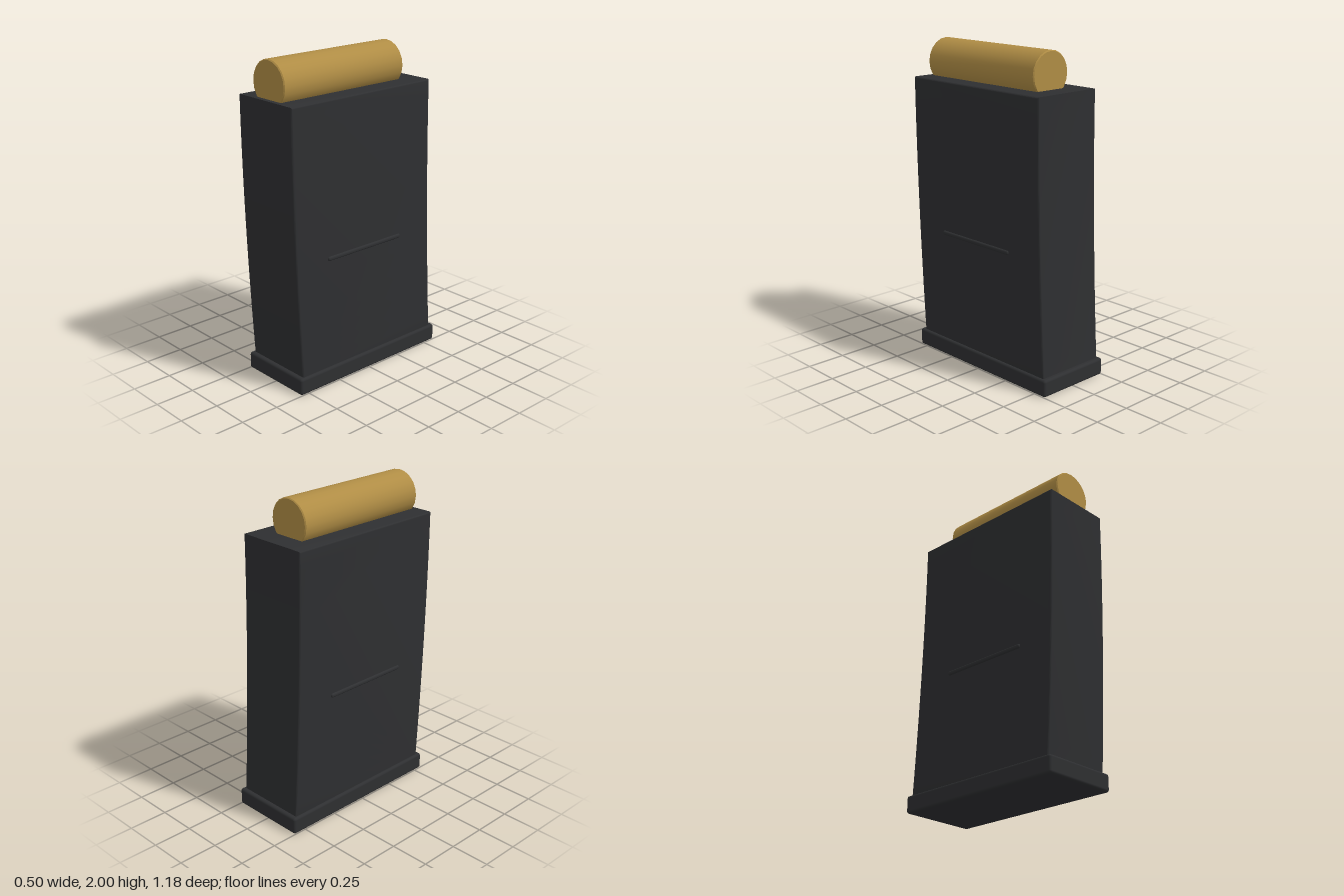
import * as THREE from 'three';
import { toCreasedNormals } from 'three/addons/utils/BufferGeometryUtils.js';
import { RoundedBoxGeometry } from 'three/addons/geometries/RoundedBoxGeometry.js';

const dark = new THREE.MeshStandardMaterial({ color: 0x2e2f31 });
const brass = new THREE.MeshStandardMaterial({ color: 0xb08d45 });

function add(group, name, geometry, material, x = 0, y = 0, z = 0) {
  const mesh = new THREE.Mesh(geometry, material);
  mesh.name = name;
  mesh.position.set(x, y, z);
  group.add(mesh);
  return mesh;
}

// Side profile whose front and back edges sweep backwards towards the bottom
function bodyGeometry() {
  const bottom = 0.08, top = 1.77, steps = 16, bevel = 0.01, halfWidth = 0.235;
  const shift = (y) => -0.06 * Math.pow((top - y) / (top - 0.1), 1.8);
  const front = [], back = [];
  for (let i = 0; i <= steps; i++) {
    const y = bottom + (top - bottom) * i / steps;
    front.push(new THREE.Vector2(0.59 + shift(y), y));
    back.unshift(new THREE.Vector2(-0.5 + shift(y), y));
  }
  const geometry = new THREE.ExtrudeGeometry(new THREE.Shape([...front, ...back]), {
    depth: 2 * (halfWidth - bevel), steps: 1, bevelEnabled: true,
    bevelThickness: bevel, bevelSize: bevel, bevelOffset: -bevel, bevelSegments: 3,
  });
  geometry.translate(0, 0, bevel - halfWidth);
  geometry.rotateY(-Math.PI / 2);
  return toCreasedNormals(geometry, 0.6);
}

// Cylinder along z with slightly chamfered rims
function cartridgeGeometry(radius, length, chamfer) {
  const h = length / 2;
  const profile = [[0, -h], [radius - chamfer, -h], [radius, chamfer - h],
    [radius, h - chamfer], [radius - chamfer, h], [0, h]].map(([r, y]) => new THREE.Vector2(r, y));
  const geometry = new THREE.LatheGeometry(profile, 20);
  geometry.rotateX(Math.PI / 2);
  return toCreasedNormals(geometry, 0.6);
}

export function createModel() {
  const model = new THREE.Group();
  model.name = 'boxMagazine';

  add(model, 'body', bodyGeometry(), dark);
  add(model, 'basePlate', new RoundedBoxGeometry(0.504, 0.108, 1.148, 3, 0.016), dark, 0, 0.054, -0.014);
  add(model, 'cartridge', cartridgeGeometry(0.141, 0.925, 0.006), brass, 0, 1.859, 0.097);

  // Thin raised rib on each side
  for (const side of [1, -1]) {
    const rib = new RoundedBoxGeometry(0.028, 0.028, 0.594, 3, 0.012);
    add(model, side > 0 ? 'leftRib' : 'rightRib', rib, dark, side * 0.231, 0.816, 0.033);
  }
  return model;
}
